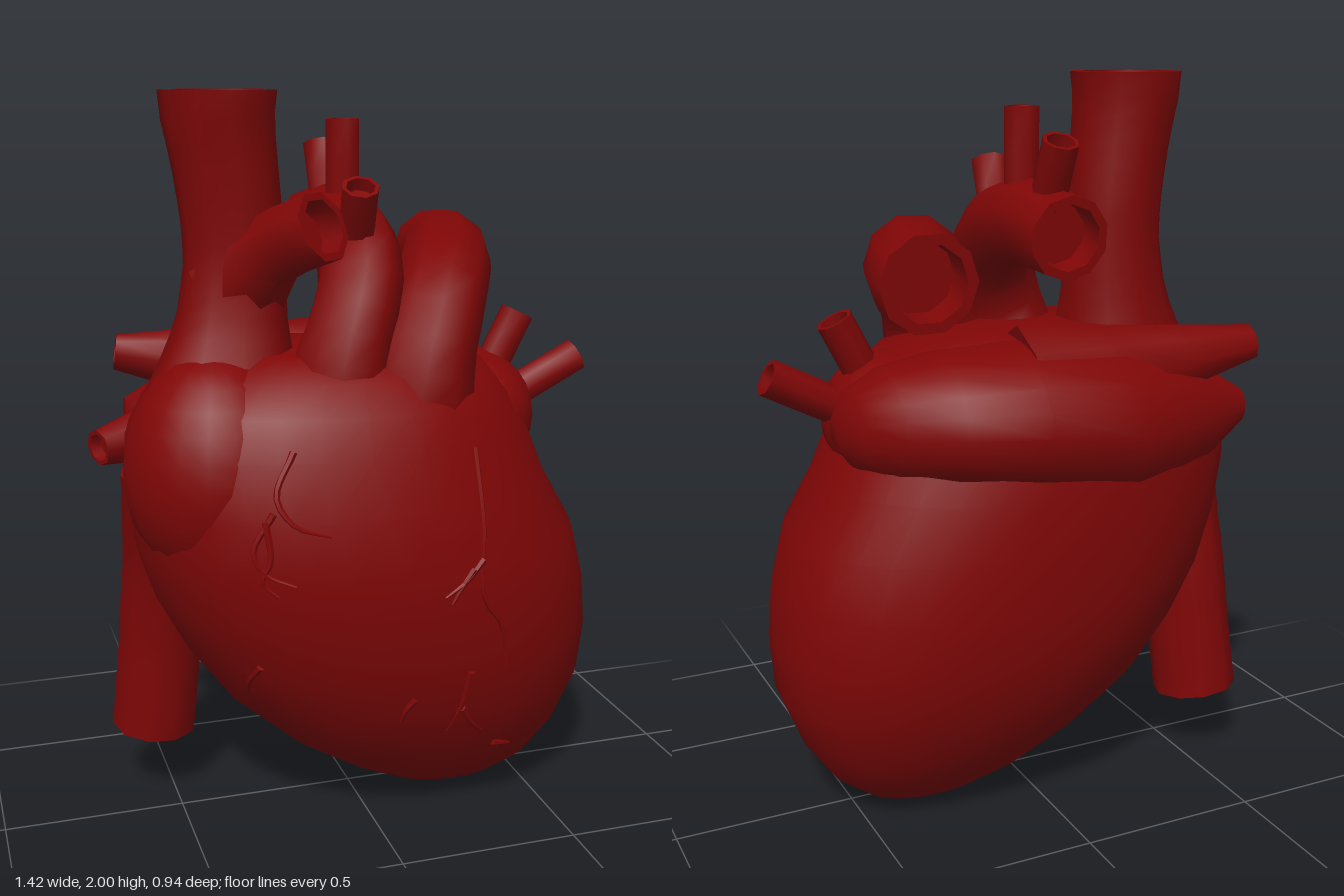
import * as THREE from 'three';
import { toCreasedNormals } from 'three/addons/utils/BufferGeometryUtils.js';

const V = (p) => new THREE.Vector3(...p);

// Heart wall cross-sections: y, xMin, xMax, zBack, zFront
const SECTIONS = [
  [0.0, 0.22, 0.36, -0.05, 0.05],
  [0.03, 0.1, 0.47, -0.13, 0.14],
  [0.1, -0.04, 0.56, -0.21, 0.23],
  [0.2, -0.2, 0.63, -0.28, 0.31],
  [0.35, -0.37, 0.69, -0.36, 0.39],
  [0.5, -0.48, 0.7, -0.4, 0.44],
  [0.65, -0.56, 0.685, -0.42, 0.465],
  [0.8, -0.61, 0.645, -0.42, 0.475],
  [0.95, -0.63, 0.56, -0.42, 0.455],
  [1.1, -0.62, 0.5, -0.4, 0.415],
  [1.2, -0.57, 0.45, -0.37, 0.375],
  [1.28, -0.48, 0.37, -0.29, 0.32],
  [1.33, -0.36, 0.22, -0.19, 0.22],
];
// Slightly squared ellipse exponent of the wall
const POWER = 2.25;
const squared = (v) => Math.sign(v) * Math.abs(v) ** (2 / POWER);

// Left atrium cross-sections: x, yCentre, yRadius, zCentre, zRadius
const ATRIUM = [
  [-0.58, 1.1, 0.05, -0.26, 0.04],
  [-0.46, 1.09, 0.14, -0.22, 0.14],
  [-0.33, 1.09, 0.19, -0.21, 0.2],
  [-0.18, 1.1, 0.22, -0.21, 0.25],
  [0.1, 1.13, 0.2, -0.21, 0.255],
  [0.3, 1.135, 0.175, -0.18, 0.235],
  [0.43, 1.13, 0.145, -0.14, 0.18],
  [0.51, 1.12, 0.1, -0.11, 0.12],
  [0.54, 1.11, 0.04, -0.09, 0.05],
];

// Points around a closed ring
const around = (n, fn) => Array.from({ length: n }, (_, j) => {
  const t = (j / n) * Math.PI * 2;
  return fn(Math.cos(t), Math.sin(t));
});

// Skin a list of equal-length rings and close both ends
function loft(rings) {
  const n = rings[0].length, pos = [], idx = [];
  rings.flat().forEach((p) => pos.push(p.x, p.y, p.z));
  for (let i = 0; i < rings.length - 1; i++) {
    for (let j = 0; j < n; j++) {
      const a = i * n + j, b = i * n + (j + 1) % n;
      idx.push(a, b, b + n, a, b + n, a + n);
    }
  }
  [0, rings.length - 1].forEach((i) => {
    const c = new THREE.Vector3();
    rings[i].forEach((p) => c.addScaledVector(p, 1 / n));
    const ci = pos.length / 3;
    pos.push(c.x, c.y, c.z);
    for (let j = 0; j < n; j++) {
      const a = i * n + j, b = i * n + (j + 1) % n;
      if (i === 0) idx.push(ci, b, a);
      else idx.push(ci, a, b);
    }
  });
  const g = new THREE.BufferGeometry();
  g.setAttribute('position', new THREE.Float32BufferAttribute(pos, 3));
  g.setIndex(idx);
  return toCreasedNormals(g, 0.9);
}

// Tube with changing radius and a hollow, thick-walled far end
function vessel(points, radii, { sides = 10, steps = 14, hollow = true } = {}) {
  const curve = new THREE.CatmullRomCurve3(points.map(V));
  const { normals, binormals, tangents } = curve.computeFrenetFrames(steps, false);
  const ring = (i, r, back = 0) => {
    const c = curve.getPointAt(i / steps).addScaledVector(tangents[i], -back);
    return around(sides, (u, v) => c.clone().addScaledVector(normals[i], r * u).addScaledVector(binormals[i], r * v));
  };
  const rings = [];
  for (let i = 0; i <= steps; i++) {
    const f = (i / steps) * (radii.length - 1), k = Math.min(Math.floor(f), radii.length - 2);
    rings.push(ring(i, THREE.MathUtils.lerp(radii[k], radii[k + 1], f - k)));
  }
  if (hollow) {
    const r = radii[radii.length - 1] * 0.78;
    rings.push(ring(steps, r), ring(steps, r * 0.95, r * 0.9));
  }
  return loft(rings);
}

// Depth of the front wall at a given x, y
function frontZ(x, y) {
  const k = Math.max(0, SECTIONS.findIndex((s) => s[0] > y) - 1);
  const a = SECTIONS[k], b = SECTIONS[k + 1], t = (y - a[0]) / (b[0] - a[0]);
  const [, x0, x1, , zf] = a.map((v, i) => THREE.MathUtils.lerp(v, b[i], t));
  const u = Math.min(1, Math.abs(x - (x0 + x1) / 2) / ((x1 - x0) / 2));
  return zf * (1 - u ** POWER) ** (1 / POWER);
}

export function createModel() {
  const group = new THREE.Group();
  const red = new THREE.MeshStandardMaterial({ color: 0x800606 });
  red.name = 'deep red';
  const add = (name, geo) => {
    const m = new THREE.Mesh(geo, red);
    m.name = name;
    group.add(m);
    return m;
  };

  // Ventricles
  add('ventricles', loft(SECTIONS.map(([y, x0, x1, zb, zf]) => around(32, (c, s) =>
    new THREE.Vector3((x0 + x1) / 2 + ((x1 - x0) / 2) * squared(s), y, squared(c) * (c > 0 ? zf : -zb))))));

  // Atria
  add('leftAtrium', loft(ATRIUM.map(([x, y, ry, z, rz]) => around(20, (c, s) =>
    new THREE.Vector3(x, y + ry * c, z + rz * s)))));
  const ball = new THREE.SphereGeometry(1, 20, 14);
  [
    ['rightAtrium', [-0.39, 1.02, 0.1], [0.255, 0.32, 0.26]],
    ['leftAuricle', [0.36, 1.11, -0.01], [0.18, 0.18, 0.23]],
  ].forEach(([name, p, s]) => {
    const m = add(name, ball);
    m.position.set(...p);
    m.scale.set(...s);
  });

  // Great vessels
  add('upperVenaCava', vessel([[-0.37, 1.1, 0.04], [-0.33, 1.35, 0.01], [-0.315, 1.6, 0], [-0.335, 1.82, 0], [-0.35, 1.94, 0], [-0.35, 2, 0]],
    [0.25, 0.195, 0.15, 0.135, 0.135, 0.14, 0.155]));
  add('venaCavaBranch', vessel([[-0.31, 1.5, 0], [-0.23, 1.61, 0.13], [-0.14, 1.67, 0.25]], [0.15, 0.095, 0.095], { sides: 8, steps: 6 }));
  add('lowerVenaCava', vessel([[-0.47, 0.98, 0.0], [-0.51, 0.65, -0.09], [-0.55, 0.205, -0.14]], [0.17, 0.13, 0.12, 0.122]));
  add('aorta', vessel([[-0.08, 1.02, 0.1], [-0.07, 1.3, 0.18], [0, 1.51, 0.12], [0.02, 1.61, -0.04], [0.015, 1.63, -0.2], [0.01, 1.615, -0.29], [0.01, 1.61, -0.365]],
    [0.2, 0.16, 0.12, 0.115, 0.115, 0.112, 0.108]));
  add('pulmonaryArtery', vessel([[0.12, 1.0, 0.12], [0.14, 1.26, 0.2], [0.2, 1.43, 0.15], [0.28, 1.515, 0], [0.345, 1.53, -0.17], [0.375, 1.525, -0.27], [0.38, 1.52, -0.35]],
    [0.22, 0.175, 0.135, 0.13, 0.13, 0.128, 0.127]));

  // Arch branches and pulmonary veins: name, start, end, radii
  [
    ['archBranchMiddle', [0.02, 1.58, -0.11], [0.02, 1.92, -0.11], [0.048, 0.048]],
    ['archBranchRear', [0.015, 1.62, -0.22], [0.015, 1.845, -0.32], [0.048, 0.048]],
    ['archBranchFront', [0, 1.53, 0.05], [-0.02, 1.76, 0.18], [0.05, 0.05]],
    ['leftVeinUpper', [0.38, 1.14, 0], [0.505, 1.385, 0], [0.05, 0.05]],
    ['leftVeinLower', [0.42, 1.11, 0], [0.69, 1.25, 0], [0.05, 0.05]],
    ['rightVeinUpper', [0.05, 1.19, -0.2], [-0.6, 1.28, -0.28], [0.18, 0.05]],
    ['rightVeinLower', [-0.35, 1.09, -0.24], [-0.685, 1.06, -0.07], [0.12, 0.05]],
  ].forEach(([name, a, b, r]) => add(name, vessel([a, b], r, { sides: 8, steps: 3 })));

  // Coronary vessels lying on the front wall
  [
    [[0.23, 1.1], [0.235, 0.9], [0.23, 0.72], [0.29, 0.63], [0.32, 0.49]],
    [[0.23, 0.82], [0.18, 0.77], [0.12, 0.73]],
    [[0.2, 0.8], [0.17, 0.76], [0.14, 0.71]],
    [[0.21, 0.5], [0.2, 0.4], [0.17, 0.3]],
    [[0.2, 0.38], [0.23, 0.33], [0.28, 0.28]],
    [[0.06, 0.43], [0.04, 0.4], [0.03, 0.36]],
    [[0.33, 0.22], [0.36, 0.21], [0.39, 0.2]],
    [[-0.26, 1.13], [-0.31, 1.02], [-0.27, 0.95], [-0.18, 0.92]],
    [[-0.32, 0.98], [-0.37, 0.88], [-0.34, 0.82], [-0.27, 0.79]],
    [[-0.34, 0.96], [-0.33, 0.86], [-0.35, 0.8], [-0.31, 0.76]],
    [[-0.34, 0.54], [-0.36, 0.48], [-0.35, 0.42]],
  ].forEach((path, i) => add(`coronaryVessel${i + 1}`,
    vessel(path.map(([x, y]) => [x, y, frontZ(x, y)]), [0.01, 0.008, 0.004], { sides: 6, steps: 12, hollow: false })));

  return group;
}
